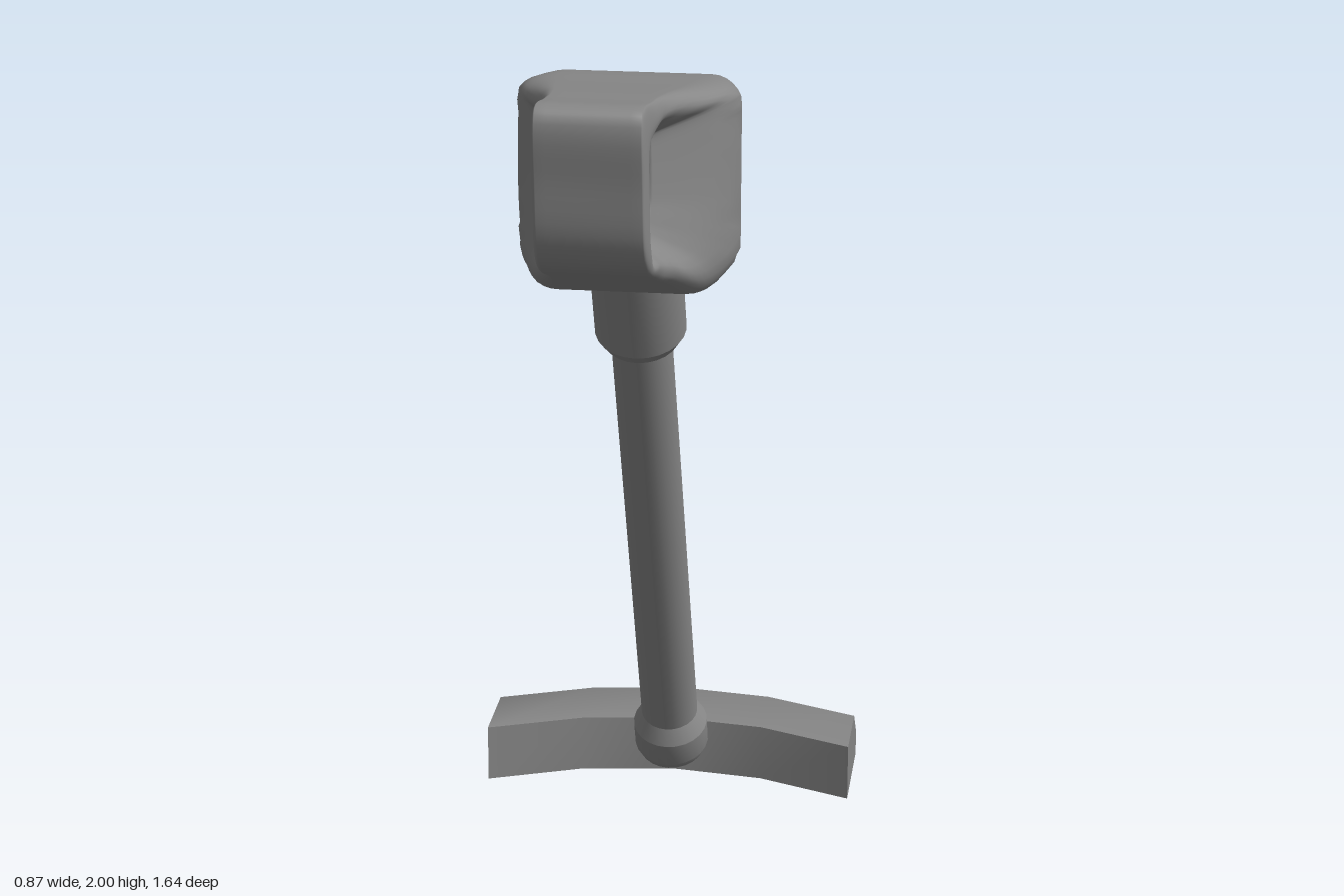
import * as THREE from 'three';
import { toCreasedNormals } from 'three/addons/utils/BufferGeometryUtils.js';

const material = new THREE.MeshStandardMaterial({ color: 0x888888 });

function part(name, geometry) {
  const mesh = new THREE.Mesh(geometry, material);
  mesh.name = name;
  return mesh;
}

// Linear lookup in a table of [position, value] pairs
function lookup(table, p) {
  if (p <= table[0][0]) return table[0][1];
  for (let i = 1; i < table.length; i++) {
    const [a, va] = table[i - 1], [b, vb] = table[i];
    if (p <= b) return va + (vb - va) * (p - a) / (b - a);
  }
  return table[table.length - 1][1];
}

// Closed smooth loop in the side plane, points given as [z, y]
const sideLoop = (points) => new THREE.CatmullRomCurve3(
  points.map(([z, y]) => new THREE.Vector3(0, y, z)), true, 'centripetal');

// Head: a ring of cross-sections spanning from the grip hole to the outline
function headGeometry() {
  const outline = sideLoop([
    [0.8, 1.998], [0.66, 1.982], [0.52, 1.963], [0.34, 1.937], [0.14, 1.908], [0, 1.865],
    [-0.06, 1.78], [-0.08, 1.68], [-0.075, 1.59], [-0.01, 1.525], [0.15, 1.492], [0.33, 1.49],
    [0.5, 1.56], [0.63, 1.61], [0.745, 1.66], [0.79, 1.72], [0.81, 1.85], [0.82, 1.97]]);
  const hole = sideLoop([
    [0.71, 1.85], [0.66, 1.89], [0.62, 1.903], [0.565, 1.888], [0.535, 1.875], [0.528, 1.83],
    [0.527, 1.8], [0.527, 1.77], [0.53, 1.74], [0.54, 1.715], [0.55, 1.695], [0.57, 1.68],
    [0.61, 1.677], [0.66, 1.682], [0.7, 1.69], [0.715, 1.72], [0.72, 1.78], [0.718, 1.825]]);
  const halfWidth = [[-0.08, 0.198], [0, 0.208], [0.1, 0.222], [0.22, 0.235], [0.3, 0.217],
    [0.4, 0.182], [0.5, 0.145], [0.6, 0.123], [0.7, 0.118], [0.82, 0.113]];
  const rimFactor = [[-0.08, 0.9], [0.05, 0.72], [0.2, 0.62], [0.35, 0.66], [0.6, 0.85], [0.82, 0.92]];

  // Half section from hole to rim as [fraction, width scale]; the rim has a flat band
  const half = [[0, 0.5]];
  for (let k = 0; k <= 14; k++) half.push([0.5 - 0.5 * Math.cos(Math.PI * k / 14), 1]);
  half.push([1, 0.8]);
  const section = [...half, ...half.map(([u, k]) => [u, -k]).reverse()];

  const rings = 90, n = section.length, positions = [], index = [];
  for (let i = 0; i < rings; i++) {
    const a = hole.getPoint(i / rings), b = outline.getPoint(i / rings);
    const length = a.distanceTo(b);
    const outerR = Math.min(0.17, 0.45 * length);
    const innerR = THREE.MathUtils.clamp(0.6 * length, 0.04, 0.22);
    for (const [u, k] of section) {
      const p = a.clone().lerp(b, u);
      const q = 1 - Math.min(1, (1 - u) * length / outerR);
      const rim = lookup(rimFactor, p.z);
      const outer = rim + (1 - rim) * Math.sqrt(Math.max(0, 1 - q * q));
      const inner = 0.6 + 0.4 * Math.sin(Math.min(1, u * length / innerR) * Math.PI / 2);
      positions.push(k * lookup(halfWidth, p.z) * outer * inner, p.y, p.z);
    }
    const next = (i + 1) % rings;
    for (let j = 0; j < n; j++) {
      const l = (j + 1) % n;
      const p = i * n + j, r = next * n + j, s = next * n + l, t = i * n + l;
      index.push(p, r, s, p, s, t);
    }
  }
  const geometry = new THREE.BufferGeometry();
  geometry.setAttribute('position', new THREE.Float32BufferAttribute(positions, 3));
  geometry.setIndex(index);
  geometry.computeVertexNormals();
  return geometry;
}

// Foot: chamfered bar swept sideways and bowed backward at its middle
function footGeometry() {
  const profile = [[0.555, 0], [0.82, 0], [0.82, 0.06], [0.74, 0.135], [0.555, 0.135]];
  const shape = new THREE.Shape(profile.map(([x, y]) => new THREE.Vector2(x, y)));
  const geometry = new THREE.ExtrudeGeometry(shape, { depth: 0.87, steps: 4, bevelEnabled: false });
  geometry.translate(0, 0, -0.435).rotateY(Math.PI / 2);
  const pos = geometry.attributes.position;
  for (let i = 0; i < pos.count; i++) {
    pos.setZ(i, pos.getZ(i) + 0.117 * (pos.getX(i) / 0.435) ** 2);
  }
  return toCreasedNormals(geometry, 0.95);
}

// Turned part about the shaft axis, profile as [radius, height]
const turned = (profile) => toCreasedNormals(
  new THREE.LatheGeometry(profile.map(([r, y]) => new THREE.Vector2(r, y)), 24), 0.45);

export function createModel() {
  const model = new THREE.Group();
  model.name = 'model';
  model.add(part('head', headGeometry()), part('foot', footGeometry()));

  // Leaning shaft with its collar and ferrule
  const shaft = new THREE.Group();
  shaft.name = 'shaftAssembly';
  shaft.position.set(0, 0.075, -0.54);
  shaft.rotation.x = Math.atan(0.464);
  shaft.add(
    part('shaft', turned([[0, 0.02], [0.067, 0.02], [0.067, 1.5], [0, 1.5]])),
    part('ferrule', turned([[0, 0], [0.08, 0], [0.088, 0.02], [0.088, 0.085], [0.067, 0.125]])),
    part('collar', turned([[0.06, 1.342], [0.084, 1.342], [0.1, 1.37], [0.1, 1.64], [0, 1.64]])),
  );
  model.add(shaft);
  return model;
}
